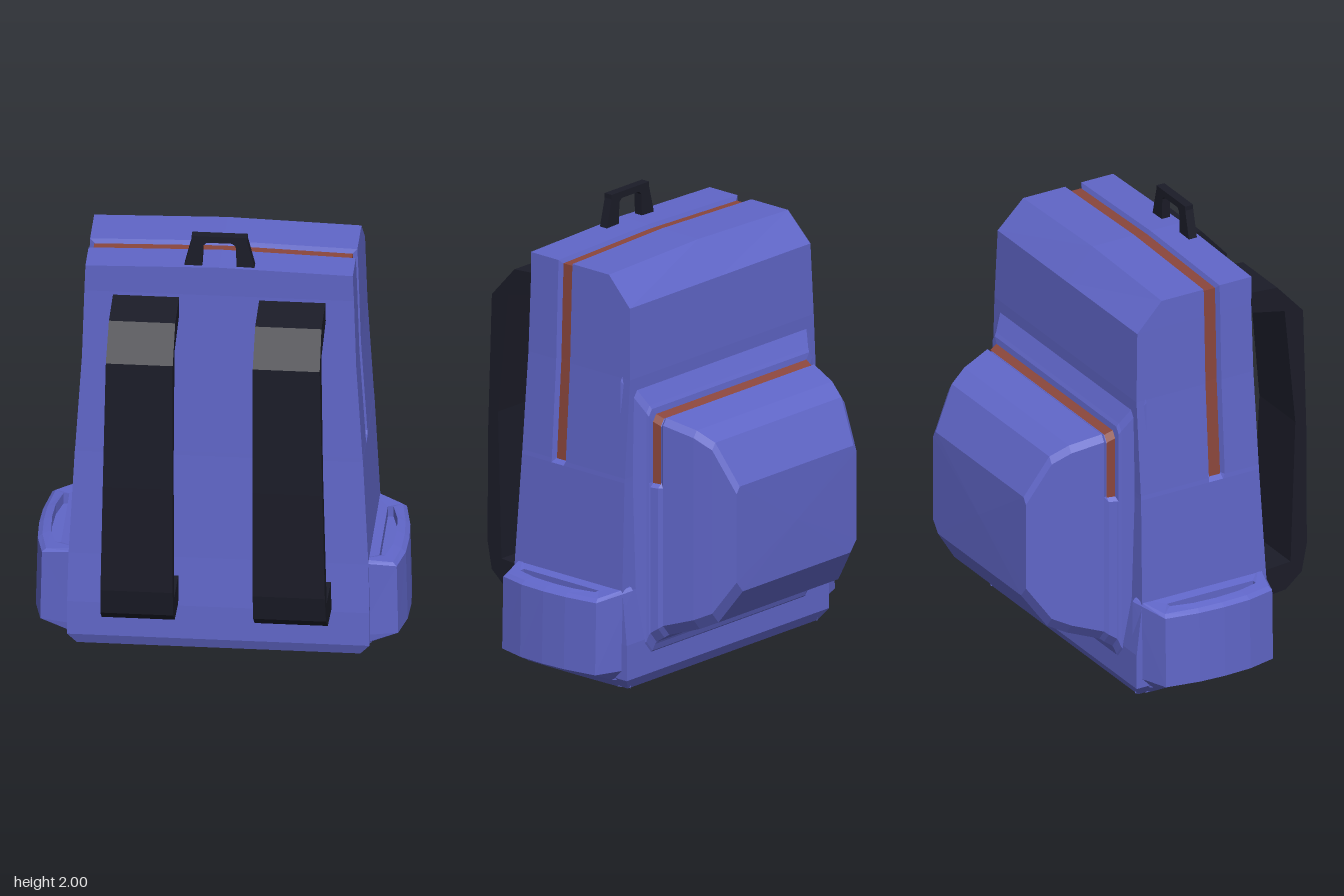
import * as THREE from 'three';

const mat = (color, side = THREE.FrontSide) =>
  new THREE.MeshStandardMaterial({ color, flatShading: true, side, roughness: 0.9 });
const fabric = mat(0x6066c8);
const webbing = mat(0x1b1c28);
const zipRed = mat(0x8a463c, THREE.DoubleSide);

// Skin a list of equal-length rings of [x, y, z] points
function loft(rings, closed = true) {
  const n = rings[0].length, index = [];
  for (let i = 0; i < rings.length - 1; i++) {
    for (let j = 0; j < (closed ? n : n - 1); j++) {
      const k = (j + 1) % n;
      const a = i * n + j, b = i * n + k, c = b + n, d = a + n;
      index.push(a, b, c, a, c, d);
    }
  }
  const g = new THREE.BufferGeometry();
  g.setAttribute('position', new THREE.Float32BufferAttribute(rings.flat(2), 3));
  g.setIndex(index);
  g.computeVertexNormals();
  return g;
}
const collapse = (ring, p) => ring.map(() => p);
const flip = ([x, y, z]) => [-x, y, z];

function add(parent, name, geometry, material) {
  const mesh = new THREE.Mesh(geometry, material);
  mesh.name = name;
  parent.add(mesh);
  return mesh;
}

// Main bag: horizontal rings with a zip groove d deep in the sides and top
function mainBag(group) {
  const levels = [ // y, half width, front z, back z, groove depth
    [0.01, 0.61, 0.365, -0.25, 0], [0.06, 0.65, 0.385, -0.28, 0],
    [0.22, 0.65, 0.385, -0.28, 0], [0.45, 0.645, 0.37, -0.25, 0],
    [0.94, 0.62, 0.35, -0.24, 0], [0.96, 0.618, 0.35, -0.24, 0.025],
    [1.4, 0.59, 0.34, -0.245, 0.025], [1.72, 0.58, 0.335, -0.235, 0.025],
    [1.845, 0.575, 0.34, -0.11, 0.025],
  ];
  const half = ([y, w, f, b, d], drop = 0) => [
    [w, y, f], [w, y, 0.18], [w - d, y - drop, 0.17],
    [w - d, y - drop, 0.11], [w, y, 0.1], [w, y, b],
  ];
  const ring = (h, rise) => {
    const mid = (p) => [0, p[1] + rise, p[2]];
    return [...h, mid(h[5]), ...h.map(flip).reverse(), mid(h[0])];
  };
  const rings = levels.map((l, i) => {
    const top = i === levels.length - 1;
    return ring(half(l, top ? 0.022 : 0), top ? 0.015 : 0);
  });
  rings.unshift(collapse(rings[0], [0, 0, 0.06]));
  add(group, 'mainBag', loft(rings), fabric);

  // Top panel, slightly crowned along the centre
  const right = half(levels.at(-1), 0.022);
  const crown = right.map(([, y, z]) => [0, y + 0.015, z]);
  add(group, 'topPanel', loft([right, crown, right.map(flip)], false), fabric);

  // Zip ribbon lying in the groove
  const side = [[0.599, 0.95], [0.57, 1.4], [0.56, 1.72], [0.556, 1.828]];
  const path = [...side, [0, 1.843], ...side.map(([x, y]) => [-x, y]).reverse()];
  const ribbon = path.map(([x, y]) => [[x, y, 0.168], [x, y, 0.112]]);
  add(group, 'mainZip', loft(ribbon, false), zipRed);
}

// Large pocket: upright rings stacked towards -z, with its own zip groove
function backPocket(group) {
  const sections = [ // z, half width, bottom, top, groove depth
    [-0.2, 0.6, 0.06, 1.42, 0], [-0.285, 0.53, 0.16, 1.275, 0],
    [-0.295, 0.525, 0.19, 1.26, 0], [-0.3, 0.52, 0.2, 1.25, 0.022],
    [-0.335, 0.51, 0.225, 1.235, 0.022], [-0.35, 0.495, 0.237, 1.225, 0],
    [-0.49, 0.455, 0.285, 1.19, 0], [-0.57, 0.425, 0.325, 1.145, 0],
    [-0.675, 0.385, 0.48, 0.96, 0],
  ];
  const rings = sections.map(([z, w, b, t, d], i) => {
    const last = i === sections.length - 1;
    const seam = last ? 0.9 : 0.91;
    const right = [
      [w - 0.02 - d, t - d, z], [w - d, t - 0.03 - d, z], [w - d, seam + 0.02, z],
      [w, seam, z], [w, b + 0.05, z], [w - 0.04, b, z],
    ];
    return [...right, ...right.map(flip).reverse()];
  });
  rings.push(collapse(rings[0], [0, 0.72, -0.68]));
  add(group, 'backPocket', loft(rings), fabric);

  // Pocket zip ribbon
  const edge = (w, t, z) => {
    const s = [[w, 0.925, z], [w, t - 0.03, z], [w - 0.02, t, z]];
    return [...s, ...s.map(flip).reverse()];
  };
  add(group, 'pocketZip', loft([edge(0.503, 1.234, -0.298), edge(0.493, 1.218, -0.336)], false), zipRed);
}

// Bottle pocket on the +x side, with a slit opening on top
function sidePocketGeometry() {
  const outline = [[0.6, 0.37], [0.77, 0.33], [0.8, 0.2], [0.805, 0.07],
    [0.798, -0.05], [0.77, -0.205], [0.6, -0.27]];
  const slit = [[0.685, 0.28], [0.71, 0.28], [0.735, 0.18], [0.742, 0.06],
    [0.735, -0.05], [0.71, -0.15], [0.685, -0.15]];
  const levels = [[0.01, 0.1, 0.96], [0.05, 0.35, 0.98], [0.1, 1, 1], [0.425, 0.96, 1], [0.44, 0.86, 0.97]];
  const rings = levels.map(([y, k, s]) => outline.map(([x, z], i) =>
    [0.6 + (x - 0.6) * k, y + (y > 0.4 && i % 6 === 0 ? 0.03 : 0), 0.06 + (z - 0.06) * s]));
  rings.unshift(collapse(outline, [0.6, 0.01, 0.06]));
  rings.push(slit.map(([x, z]) => [x, 0.45, z]), slit.map(([x, z]) => [x, 0.4, z]));
  rings.push(collapse(outline, [0.71, 0.4, 0.06]));
  return loft(rings);
}

// Shoulder strap: side profile in (z, y), extruded across x and widened downwards
function strapGeometry() {
  const profile = [[0.33, 1.705], [0.54, 1.69], [0.667, 1.55], [0.677, 0.95], [0.672, 0.44],
    [0.645, 0.315], [0.565, 0.25], [0.36, 0.23], [0.36, 0.36], [0.59, 0.375],
    [0.622, 1.03], [0.575, 1.57], [0.33, 1.62]];
  const shape = new THREE.Shape(profile.map(([z, y]) => new THREE.Vector2(z, y)));
  const g = new THREE.ExtrudeGeometry(shape, { depth: 1, bevelEnabled: false });
  g.rotateY(-Math.PI / 2).translate(1, 0, 0);
  const p = g.attributes.position;
  for (let i = 0; i < p.count; i++) {
    const width = 0.285 + 0.03 * (1.7 - p.getY(i)) / 1.47;
    p.setX(i, 0.172 + p.getX(i) * width);
  }
  g.computeVertexNormals();
  return g;
}

// Carry handle: flat arch
function handleGeometry() {
  const right = [[0.155, 1.84], [0.12, 1.98], [0.12, 2]];
  const inner = [[0.07, 1.955], [0.055, 1.97]];
  const mirror = (pts) => pts.map(([x, y]) => [-x, y]).reverse();
  const pts = [...right, ...mirror(right), [-0.075, 1.84],
    ...mirror(inner).reverse(), ...[...inner].reverse(), [0.075, 1.84]];
  // keep the inner edge running up the left, across, and down the right
  pts.splice(7, 2, [-0.07, 1.955], [-0.055, 1.97]);
  const shape = new THREE.Shape(pts.map(([x, y]) => new THREE.Vector2(x, y)));
  return new THREE.ExtrudeGeometry(shape, { depth: 0.04, bevelEnabled: false }).translate(0, 0, 0.282);
}

export function createModel() {
  const group = new THREE.Group();
  group.name = 'backpack';
  mainBag(group);
  backPocket(group);

  const pocket = sidePocketGeometry(), strap = strapGeometry();
  for (const [label, s] of [['left', 1], ['right', -1]]) {
    add(group, label + 'SidePocket', pocket, fabric).scale.x = s;
    add(group, label + 'ShoulderStrap', strap, webbing).scale.x = s;
  }
  add(group, 'carryHandle', handleGeometry(), webbing);
  return group;
}
